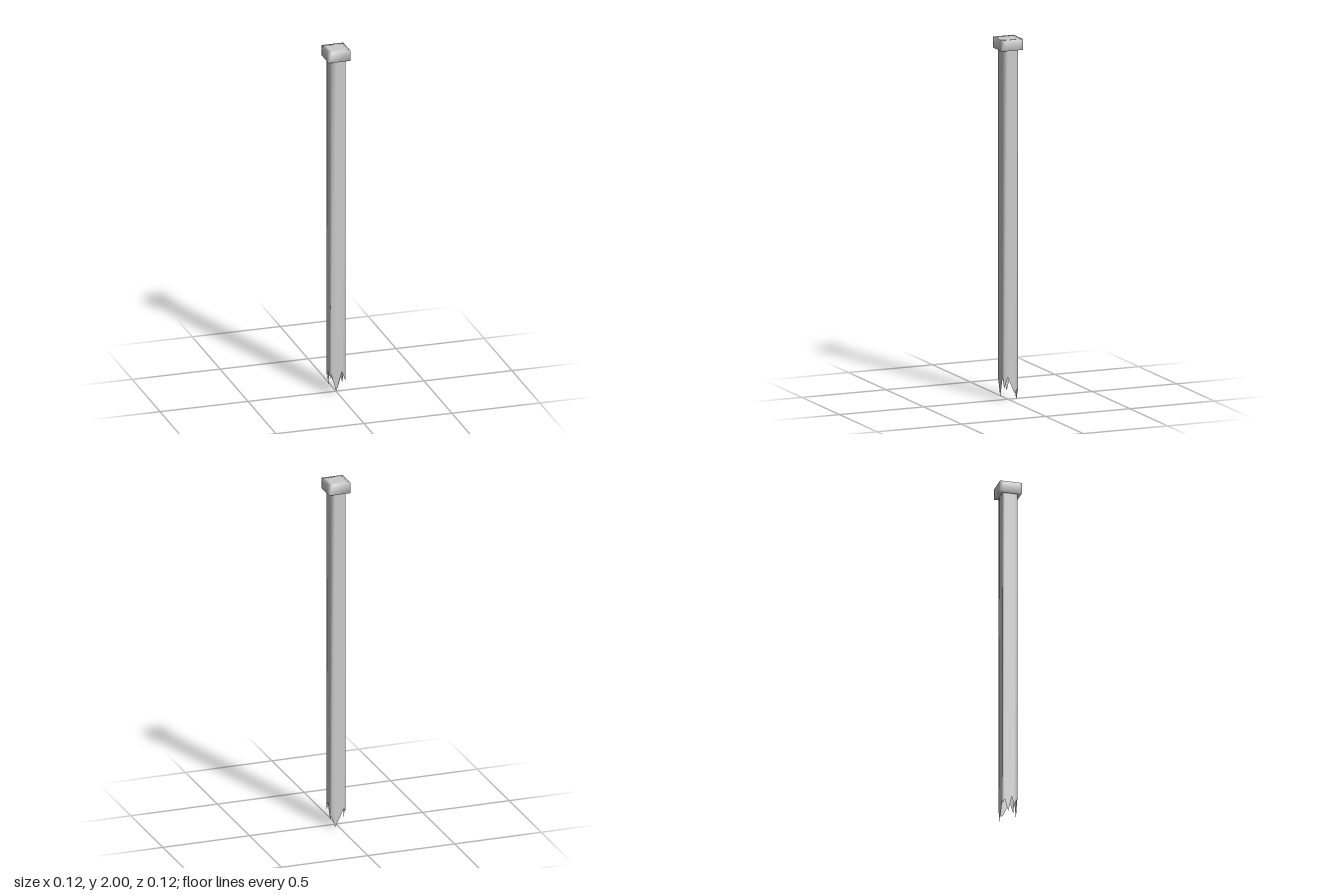
import * as THREE from 'three';
import { mergeVertices } from 'three/addons/utils/BufferGeometryUtils.js';

const HALF = 0.041, CAP_HALF = 0.062, CAP_BOTTOM = 1.94;

// Outline of the broken lower end, counter-clockwise from above: [x, z, y]
const brokenEnd = [
  [-HALF, HALF, 0.12], [-0.012, HALF, 0.015], [0.02, HALF, 0.125],      // front
  [HALF, HALF, 0.07], [HALF, 0.02, 0.13], [HALF, -0.02, 0.04],          // left side
  [HALF, -HALF, 0.065], [0.02, -HALF, 0], [-0.03, -HALF, 0.1],          // back
  [-HALF, -HALF, 0.085], [-HALF, -0.03, 0.11], [-HALF, -0.01, 0.04],    // right side
  [-HALF, 0.01, 0.13], [-HALF, 0.022, 0.08],
];

// Hollow square shaft, lofted from the jagged end up to the cap
function shaftGeometry() {
  const n = brokenEnd.length, positions = [], index = [];
  for (const [x, z, y] of brokenEnd) positions.push(x, y, z, x, CAP_BOTTOM, z);
  for (let i = 0; i < n; i++) {
    const a = 2 * i, b = 2 * ((i + 1) % n);
    index.push(a, b, b + 1, a, b + 1, a + 1);
  }
  const geo = new THREE.BufferGeometry();
  geo.setAttribute('position', new THREE.Float32BufferAttribute(positions, 3));
  geo.setIndex(index);
  geo.computeVertexNormals();
  return geo;
}

// Square cap with an inner loop near the rim, shaded softly across its edges
function capGeometry() {
  const size = 2 * CAP_HALF;
  let geo = new THREE.BoxGeometry(size, 2 - CAP_BOTTOM, size, 3, 1, 3);
  const pos = geo.attributes.position;
  const snap = (v) => (Math.abs(v) < CAP_HALF * 0.9 ? Math.sign(v) * HALF : v);
  for (let i = 0; i < pos.count; i++) {
    pos.setX(i, snap(pos.getX(i)));
    pos.setZ(i, snap(pos.getZ(i)));
  }
  geo.deleteAttribute('uv');
  geo.deleteAttribute('normal');
  geo = mergeVertices(geo);
  geo.computeVertexNormals();
  return geo;
}

export function createModel() {
  const group = new THREE.Group();
  group.name = 'brokenPost';

  const shaft = new THREE.Mesh(shaftGeometry(),
    new THREE.MeshStandardMaterial({ color: 0xcccccc, side: THREE.DoubleSide }));
  shaft.name = 'shaft';

  const cap = new THREE.Mesh(capGeometry(), new THREE.MeshStandardMaterial({ color: 0xcccccc }));
  cap.name = 'cap';
  cap.position.y = (CAP_BOTTOM + 2) / 2;

  group.add(shaft, cap);
  return group;
}
